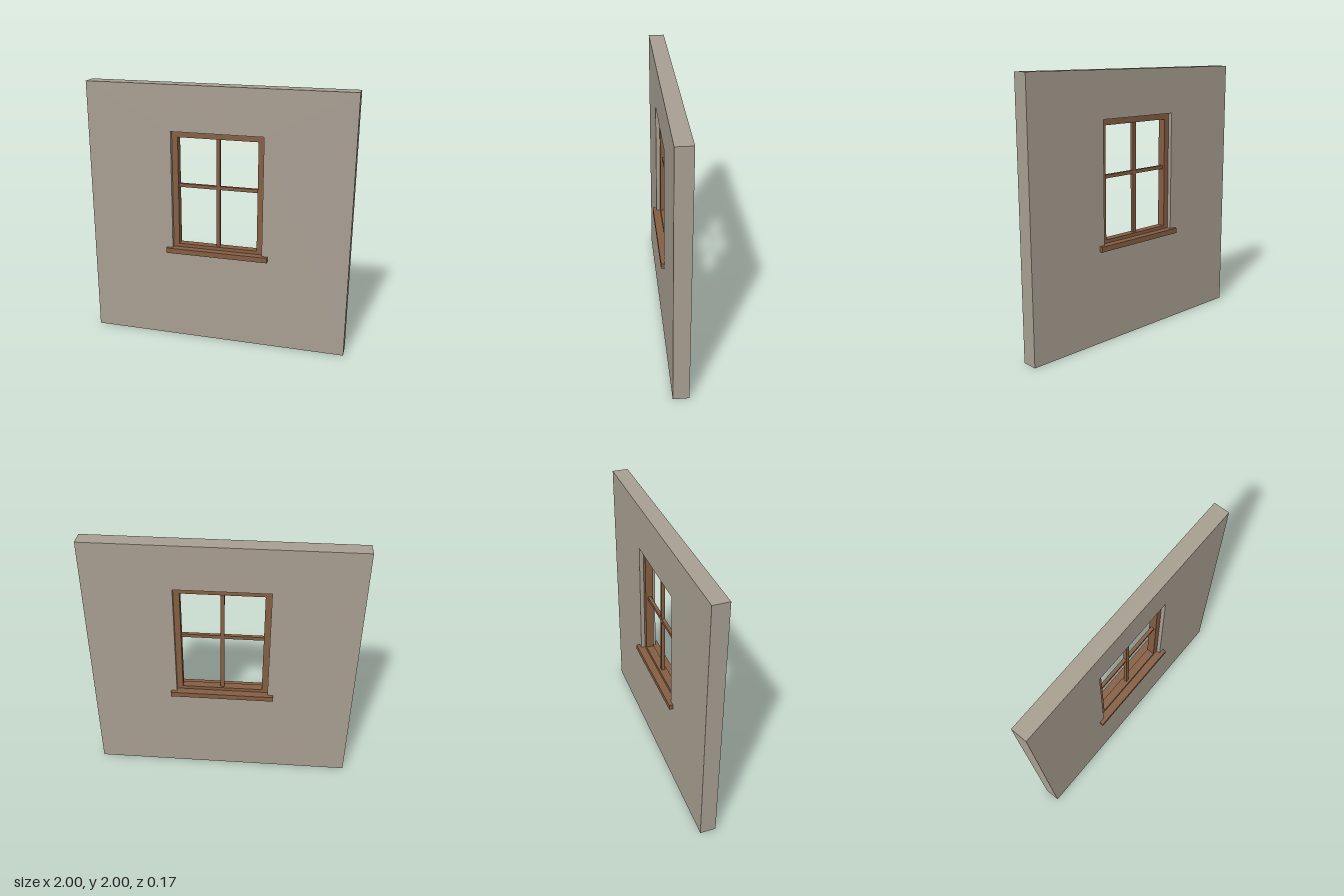
import * as THREE from 'three';

export function createModel() {
  const model = new THREE.Group();
  model.name = 'wallWithWindow';

  const plaster = new THREE.MeshStandardMaterial({ color: 0xa89f92 });
  plaster.name = 'warm grey plaster';
  const wood = new THREE.MeshStandardMaterial({ color: 0x855e42 });
  wood.name = 'brown wood';

  // Rectangle outline, as a shape or a hole
  const rect = (path, x, y0, y1) => {
    path.moveTo(-x, y0).lineTo(x, y0).lineTo(x, y1).lineTo(-x, y1).closePath();
    return path;
  };

  // Rectangular slab with a rectangular hole, centred on z = 0
  const ring = (name, outer, inner, depth, material) => {
    const shape = rect(new THREE.Shape(), ...outer);
    shape.holes.push(rect(new THREE.Path(), ...inner));
    const geometry = new THREE.ExtrudeGeometry(shape, { depth, bevelEnabled: false });
    geometry.translate(0, 0, -depth / 2);
    const mesh = new THREE.Mesh(geometry, material);
    mesh.name = name;
    return mesh;
  };

  const bar = (name, width, height, depth, y) => {
    const mesh = new THREE.Mesh(new THREE.BoxGeometry(width, height, depth), wood);
    mesh.position.y = y;
    mesh.name = name;
    return mesh;
  };

  // Wall with the window opening
  model.add(ring('wall', [1, 0, 2], [0.35, 0.726, 1.657], 0.12, plaster));

  // Recessed frame, glazing bars and the sill that runs through the wall
  const windowGroup = new THREE.Group();
  windowGroup.name = 'window';
  windowGroup.add(
    ring('frame', [0.35, 0.726, 1.657], [0.305, 0.772, 1.611], 0.06, wood),
    bar('verticalGlazingBar', 0.028, 0.839, 0.026, 1.1915),
    bar('horizontalGlazingBar', 0.61, 0.026, 0.026, 1.238),
    bar('sill', 0.79, 0.04, 0.175, 0.726)
  );
  model.add(windowGroup);

  return model;
}
